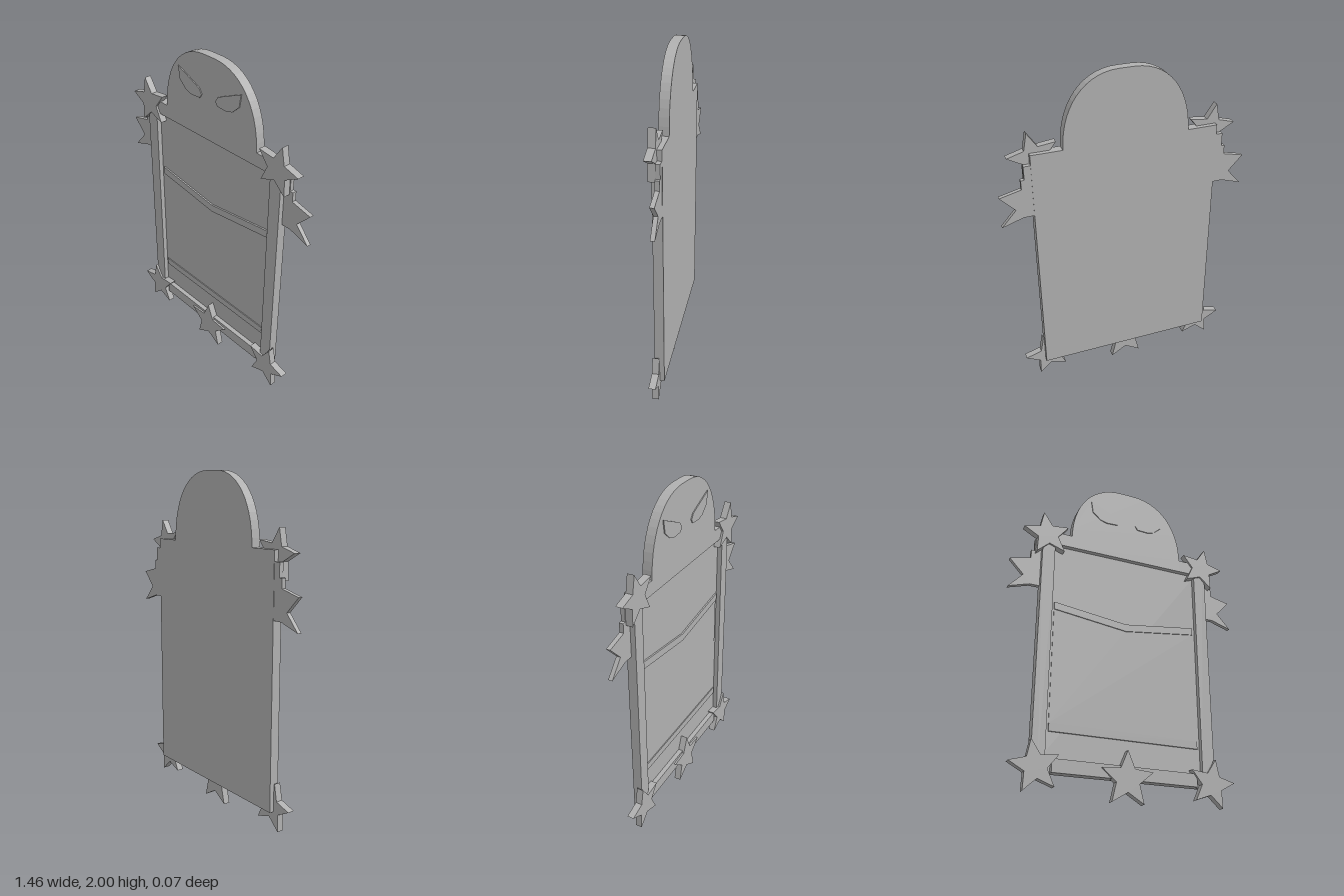
import * as THREE from 'three';

const BACK = -0.035, BASE = -0.008, FRONT = 0.021;

export function createModel() {
  const group = new THREE.Group();
  const grey = new THREE.MeshStandardMaterial({ color: 0xb0b0b0 });
  grey.name = 'plain grey';

  // Extrudes a shape or a list of corners between two depths
  const slab = (name, outline, z0, z1) => {
    const shape = Array.isArray(outline)
      ? new THREE.Shape(outline.map(([x, y]) => new THREE.Vector2(x, y)))
      : outline;
    const geo = new THREE.ExtrudeGeometry(shape, { depth: z1 - z0, bevelEnabled: false, curveSegments: 14 });
    geo.translate(0, 0, z0);
    const mesh = new THREE.Mesh(geo, grey);
    mesh.name = name;
    group.add(mesh);
  };
  const rect = (x0, x1, y0, y1) => [[x0, y0], [x1, y0], [x1, y1], [x0, y1]];
  const pair = (name, points, z0, z1) => {
    slab(name + 'Left', points, z0, z1);
    slab(name + 'Right', points.map(([x, y]) => [-x, y]).reverse(), z0, z1);
  };
  const star = (cx, cy, r, tilt) => Array.from({ length: 10 }, (_, i) => {
    const a = Math.PI / 2 + tilt + i * Math.PI / 5;
    const d = i % 2 ? r * 0.45 : r;
    return [cx + d * Math.cos(a), cy + d * Math.sin(a)];
  });

  // Backing plate and rounded head
  slab('backPlate', rect(-0.545, 0.545, 0.13, 1.59), BACK, BASE);
  const dome = new THREE.Shape();
  dome.moveTo(-0.365, 1.51);
  dome.lineTo(0.365, 1.51);
  dome.lineTo(0.365, 1.59);
  dome.bezierCurveTo(0.365, 1.83, 0.24, 2, 0.04, 2);
  dome.lineTo(-0.04, 2);
  dome.bezierCurveTo(-0.24, 2, -0.365, 1.83, -0.365, 1.59);
  slab('head', dome, BACK, FRONT);
  pair('shoulder', rect(0.365, 0.46, 1.51, 1.59), BASE, FRONT);

  // Almond eyes
  pair('eye', [[0.055, 1.77], [0.07, 1.745], [0.14, 1.742], [0.185, 1.755],
    [0.235, 1.8], [0.247, 1.875], [0.13, 1.825], [0.075, 1.8]], FRONT, 0.027);

  // Frame rails around the recessed panel
  pair('sideRail', [[0.468, 0.2], [0.505, 0.22], [0.545, 0.3], [0.545, 1.45],
    [0.53, 1.51], [0.468, 1.51]], BASE, FRONT);
  slab('bottomRail', rect(-0.43, 0.43, 0.13, 0.205), BASE, FRONT);

  // Pocket with a folded upper band and a straight lower band
  slab('pocket', [[-0.45, 0.4], [0.45, 0.4], [0.45, 1.085], [0, 1.025], [-0.45, 1.085]], BASE, -0.004);
  slab('upperBand', [[-0.45, 1.085], [0, 1.025], [0.45, 1.085], [0.45, 1.13], [0, 1.07], [-0.45, 1.13]], BASE, 0.002);
  slab('lowerBand', rect(-0.45, 0.45, 0.355, 0.4), BASE, 0.002);

  // Notched ribbon tails behind the frame
  pair('ribbonTail', [[0.545, 1.22], [0.605, 1.22], [0.73, 1.18], [0.645, 1.275],
    [0.73, 1.365], [0.605, 1.395], [0.605, 1.45], [0.585, 1.45], [0.585, 1.53], [0.545, 1.53]], -0.033, BASE);

  // Corner stars and the bottom centre star
  pair('topStar', star(0.521, 1.562, 0.146, -0.2), BASE, 0.033);
  pair('bottomStar', star(0.521, 0.153, 0.146, -0.2), BASE, 0.033);
  slab('centreStar', star(0, 0.133, 0.16, 0), BASE, 0.033);

  // Stand the lowest star tips on the ground
  const box = new THREE.Box3().setFromObject(group);
  group.children.forEach((m) => m.geometry.translate(0, -box.min.y, 0));
  return group;
}
